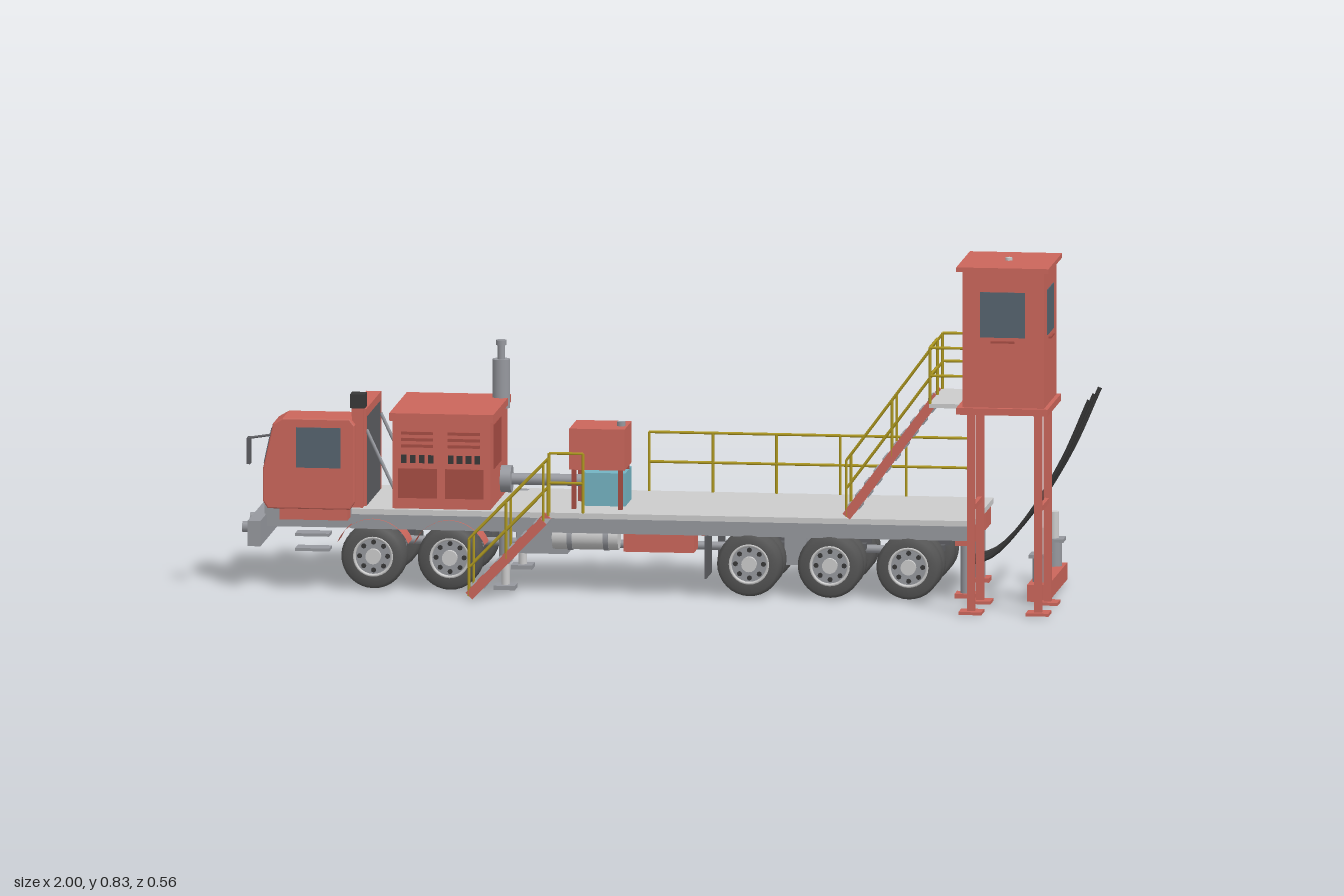
import * as THREE from 'three';

const mat = (color, side = THREE.FrontSide) => new THREE.MeshStandardMaterial({ color, side });
const grey = mat(0xcccccc), steel = mat(0x96989e), dark = mat(0x5c5d61), black = mat(0x383838), rubber = mat(0x555555);
const red = mat(0xcb665b), deepRed = mat(0xa84d44), yellow = mat(0xb09a20), teal = mat(0x74b3c2), glass = mat(0x56646f);
const redThin = mat(0xcb665b, THREE.DoubleSide);
const V = (x, y, z) => new THREE.Vector3(x, y, z);
const ZC = -0.095; // centre line of the truck

export function createModel() {
  const model = new THREE.Group();
  const add = (name, geo, m, parent = model) => {
    const mesh = new THREE.Mesh(geo, m);
    mesh.name = name;
    parent.add(mesh);
    return mesh;
  };
  const group = (name) => {
    const g = new THREE.Group();
    g.name = name;
    model.add(g);
    return g;
  };
  // box from its limits
  const box = (name, m, x0, x1, y0, y1, z0, z1, p) => add(name,
    new THREE.BoxGeometry(x1 - x0, y1 - y0, z1 - z0).translate((x0 + x1) / 2, (y0 + y1) / 2, (z0 + z1) / 2), m, p);
  // round bar between two points
  const bar = (name, m, a, b, r, p, sides = 8) => {
    const d = b.clone().sub(a);
    const mesh = add(name, new THREE.CylinderGeometry(r, r, d.length(), sides), m, p);
    mesh.position.copy(a).addScaledVector(d, 0.5);
    mesh.quaternion.setFromUnitVectors(V(0, 1, 0), d.normalize());
    return mesh;
  };
  const rail = (pts, p) => {
    for (let i = 1; i < pts.length; i++) bar('railing', yellow, pts[i - 1], pts[i], 0.0035, p, 6);
  };
  const bothSides = (f) => [1, -1].forEach((s) => f(s, (z) => ZC + s * z));

  // Deck and chassis
  box('deck', grey, -0.73, 0.735, 0.187, 0.2, -0.275, 0.083);
  bothSides((s, Z) => {
    const zr = Z(0.045), ze = Z(0.165);
    box('chassisRail', steel, -0.95, 0.73, 0.135, 0.187, zr - 0.01, zr + 0.01);
    box('deckSideBeam', steel, -0.73, 0.72, 0.152, 0.187, ze - 0.006, ze + 0.006);
    box('rearBracket', red, 0.69, 0.73, 0.14, 0.187, Z(0.12) - 0.05, Z(0.12) + 0.05);
  });
  for (let i = 0; i < 12; i++) {
    const x = -0.66 + i * 0.122;
    box('crossMember', dark, x, x + 0.018, 0.155, 0.187, -0.26, 0.07);
  }
  box('frontPlatform', steel, -0.94, -0.72, 0.17, 0.2, -0.2, 0.02);
  box('bumper', steel, -0.975, -0.945, 0.105, 0.165, -0.258, 0.075);
  bothSides((s, Z) => bar('towHook', steel, V(-1, 0.135, Z(0.07)), V(-0.97, 0.135, Z(0.07)), 0.013));

  // Wheels and axles
  const tyreGeo = (h) => new THREE.LatheGeometry([[0.046, -h], [0.068, -h], [0.076, -h * 0.65],
    [0.076, h * 0.65], [0.068, h], [0.046, h]].map((p) => new THREE.Vector2(...p)), 32).rotateX(Math.PI / 2);
  const disc = (r, t, z, n = 24) => new THREE.CylinderGeometry(r, r, t, n).rotateX(Math.PI / 2).translate(0, 0, z);
  const wheel = (x, z, s, w) => {
    const g = group('wheel');
    g.position.set(x, 0.086, z);
    add('tyre', tyreGeo(w / 2), rubber, g);
    add('rim', disc(0.047, w * 0.6, 0), steel, g);
    add('rimRing', new THREE.TorusGeometry(0.045, 0.004, 6, 28).translate(0, 0, s * w * 0.45), grey, g);
    add('hub', disc(0.018, w * 0.95, s * 0.003, 16), grey, g);
    for (let i = 0; i < 8; i++) {
      const a = i * Math.PI / 4;
      add('rimHole', disc(0.006, 0.003, 0, 8).translate(0.033 * Math.cos(a), 0.033 * Math.sin(a), s * w * 0.31), black, g);
    }
  };
  const axles = [[-0.68, 1], [-0.5, 1], [0.205, 2], [0.395, 2], [0.58, 2]];
  for (const [x, count] of axles) {
    bar('axle', steel, V(x, 0.086, -0.24), V(x, 0.086, 0.05), 0.014, model, 12);
    add('differential', new THREE.SphereGeometry(0.03, 16, 12).translate(x, 0.086, -0.105), steel);
    bothSides((s, Z) => {
      if (count === 1) wheel(x, Z(0.14), s, 0.06);
      else [0.148, 0.09].forEach((o) => wheel(x, Z(o), s, 0.048));
      box('leafSpring', dark, x - 0.07, x + 0.07, 0.108, 0.122, Z(0.045) - 0.012, Z(0.045) + 0.012);
      if (count === 1) {
        const f = add('fender', new THREE.CylinderGeometry(0.09, 0.09, 0.075, 16, 1, true, Math.PI * 0.62, Math.PI * 0.76), redThin);
        f.rotation.x = Math.PI / 2;
        f.position.set(x, 0.086, Z(0.14));
      }
    });
  }
  bar('driveShaft', steel, V(-0.68, 0.1, -0.105), V(0.58, 0.1, -0.105), 0.01, model, 12);
  box('gearbox', steel, -0.36, -0.24, 0.08, 0.17, -0.135, -0.06);

  // Under-deck equipment on both sides
  bothSides((s, Z) => {
    bar('fuelTank', grey, V(-0.26, 0.14, Z(0.133)), V(-0.105, 0.14, Z(0.133)), 0.032, model, 24);
    for (const x of [-0.225, -0.14]) bar('tankStrap', steel, V(x, 0.14, Z(0.133)), V(x + 0.012, 0.14, Z(0.133)), 0.034, model, 24);
    box('toolBox', red, -0.09, 0.075, 0.11, 0.187, Z(0.13) - 0.04, Z(0.13) + 0.04);
    box('mudFlap', dark, 0.1, 0.105, 0.05, 0.15, Z(0.12) - 0.05, Z(0.12) + 0.05);
    box('suspensionMount', steel, 0.275, 0.325, 0.07, 0.145, Z(0.05) - 0.015, Z(0.05) + 0.015);
    const jack = group('jack');
    bar('jackSleeve', steel, V(-0.37, 0.08, Z(0.155)), V(-0.37, 0.2, Z(0.155)), 0.016, jack, 16);
    bar('jackRod', grey, V(-0.37, 0.02, Z(0.155)), V(-0.37, 0.09, Z(0.155)), 0.01, jack, 12);
    box('jackPad', steel, -0.395, -0.345, 0.015, 0.025, Z(0.155) - 0.025, Z(0.155) + 0.025, jack);
    const rear = group('rearJack');
    bar('jackRod', grey, V(0.885, 0.05, Z(0.12)), V(0.885, 0.18, Z(0.12)), 0.012, rear, 16);
    bar('jackSleeve', steel, V(0.885, 0.05, Z(0.12)), V(0.885, 0.11, Z(0.12)), 0.019, rear, 16);
    box('jackCollar', steel, 0.86, 0.91, 0.11, 0.118, Z(0.12) - 0.025, Z(0.12) + 0.025, rear);
    bar('rearLeg', steel, V(0.71, 0.02, Z(0.12)), V(0.71, 0.14, Z(0.12)), 0.014, model, 16);
    box('rearLegPad', red, 0.685, 0.735, 0.012, 0.022, Z(0.12) - 0.025, Z(0.12) + 0.025);
  });
  box('rearBeam', red, 0.86, 0.91, 0.012, 0.052, -0.262, 0.078);

  // Driver cab
  const cab = group('cab');
  const side = new THREE.Shape([[-0.925, 0.2], [-0.735, 0.2], [-0.725, 0.215], [-0.725, 0.395], [-0.735, 0.408],
    [-0.89, 0.408], [-0.912, 0.395], [-0.935, 0.29], [-0.935, 0.215]].map((p) => new THREE.Vector2(...p)));
  add('cabBody', new THREE.ExtrudeGeometry(side, { depth: 0.111, bevelEnabled: true, bevelSize: 0.003, bevelThickness: 0.003, bevelSegments: 2 })
    .translate(0, 0, -0.028), red, cab);
  box('sideWindow', glass, -0.86, -0.755, 0.295, 0.39, -0.033, 0.088, cab);
  const screen = box('windscreen', glass, -0.003, 0.003, -0.042, 0.042, -0.045, 0.045, cab);
  screen.position.set(-0.926, 0.343, 0.028);
  screen.rotation.z = -0.215;
  box('cabBase', red, -0.9, -0.74, 0.17, 0.2, -0.02, 0.075, cab);
  for (const y of [0.1, 0.135]) box('cabStep', steel, -0.86, -0.78, y, y + 0.007, 0.05, 0.1, cab);
  box('mirror', dark, -0.968, -0.96, 0.31, 0.372, 0.12, 0.147, cab);
  bar('mirrorArm', dark, V(-0.92, 0.37, 0.08), V(-0.964, 0.37, 0.13), 0.003, cab);
  box('frontLocker', red, -0.92, -0.855, 0.17, 0.26, -0.255, -0.13);
  bar('airFilter', steel, V(-0.83, 0.17, -0.21), V(-0.83, 0.3, -0.21), 0.026, model, 24);

  // Radiator with its grille and air intake
  box('radiator', dark, -0.735, -0.7, 0.2, 0.41, -0.215, 0.03);
  for (let i = 0; i < 14; i++) box('grilleSlat', steel, -0.741, -0.735, 0.21 + i * 0.0145, 0.217 + i * 0.0145, -0.21, 0.025);
  for (const z of [-0.225, 0.03]) {
    box('radiatorFrame', red, -0.735, -0.7, 0.2, 0.43, z, z + 0.014);
    bar('radiatorStay', steel, V(-0.7, 0.38, z + 0.007), V(-0.63, 0.23, z + 0.007), 0.004);
  }
  box('radiatorTop', red, -0.735, -0.7, 0.41, 0.43, -0.225, 0.044);
  box('intakePost', red, -0.73, -0.705, 0.2, 0.435, 0.045, 0.068);
  box('intakeHead', black, -0.735, -0.7, 0.435, 0.468, 0.03, 0.07);

  // Engine housing
  const engine = group('engineHousing');
  box('housing', red, -0.635, -0.405, 0.2, 0.412, -0.245, 0.065, engine);
  box('housingRoof', red, -0.643, -0.398, 0.407, 0.425, -0.25, 0.068, engine);
  for (const z of [-0.246, 0.066]) {
    for (const x of [-0.615, -0.505]) {
      for (const y of [0.345, 0.36, 0.375]) box('louvre', deepRed, x, x + 0.075, y, y + 0.007, z - 0.003, z + 0.003, engine);
      for (let i = 0; i < 4; i++) box('vent', black, x + i * 0.021, x + 0.013 + i * 0.021, 0.308, 0.327, z - 0.001, z + 0.001, engine);
      box('doorPanel', deepRed, x - 0.007, x + 0.084, 0.225, 0.295, z - 0.001, z + 0.001, engine);
    }
  }
  box('rearDoor', deepRed, -0.404, -0.402, 0.29, 0.395, -0.107, 0.02, engine);
  bar('muffler', steel, V(-0.415, 0.4, -0.206), V(-0.415, 0.515, -0.206), 0.021, engine, 20);
  bar('exhaustTip', steel, V(-0.415, 0.51, -0.206), V(-0.415, 0.55, -0.206), 0.009, engine, 16);
  bar('exhaustCap', steel, V(-0.415, 0.548, -0.206), V(-0.415, 0.56, -0.206), 0.012, engine, 16);

  // Pump drive, tank and power unit
  bar('coupling', steel, V(-0.4, 0.25, ZC), V(-0.375, 0.25, ZC), 0.032, model, 24);
  bar('pumpShaft', steel, V(-0.375, 0.25, ZC), V(-0.195, 0.25, ZC), 0.014, model, 16);
  box('pumpUnit', teal, -0.2, -0.1, 0.2, 0.278, -0.145, -0.03);
  box('pumpHead', teal, -0.16, -0.11, 0.21, 0.243, -0.172, -0.145);
  box('oilTank', red, -0.225, -0.095, 0.293, 0.39, -0.108, 0.023);
  bar('tankCap', steel, V(-0.11, 0.39, -0.035), V(-0.11, 0.4, -0.035), 0.01, model, 12);
  for (const x of [-0.215, -0.105]) for (const z of [-0.1, 0.015]) box('tankLeg', deepRed, x - 0.005, x + 0.005, 0.2, 0.293, z - 0.005, z + 0.005);

  // Stairs running up along x between two stringers
  const stairs = (name, a, b, z0, z1, steps, railHeight) => {
    const g = group(name), dx = b.x - a.x, dy = b.y - a.y;
    for (const z of [z0, z1]) {
      const s = add('stringer', new THREE.BoxGeometry(Math.hypot(dx, dy), 0.022, 0.006), red, g);
      s.position.set((a.x + b.x) / 2, (a.y + b.y) / 2, z);
      s.rotation.z = Math.atan2(dy, dx);
      for (const h of [railHeight, railHeight / 2]) rail([V(a.x, a.y + h, z), V(b.x, b.y + h, z)], g);
      for (const t of [0, 0.5, 1]) rail([V(a.x + dx * t, a.y + dy * t, z), V(a.x + dx * t, a.y + dy * t + railHeight, z)], g);
    }
    for (let i = 0; i < steps; i++) {
      const t = (i + 0.7) / steps, x = a.x + dx * t, y = a.y + dy * t;
      box('tread', steel, x - 0.016, x + 0.016, y - 0.003, y + 0.003, z0, z1, g);
    }
  };
  stairs('deckStairs', V(-0.44, 0.015, 0), V(-0.265, 0.195, 0), 0.098, 0.183, 6, 0.135);
  stairs('towerStairs', V(0.435, 0.205, 0), V(0.65, 0.495, 0), -0.003, 0.082, 10, 0.133);

  // Deck railings
  const fence = (pts, y, h) => {
    for (const f of [h, h / 2]) rail(pts.map(([x, z]) => V(x, y + f, z)));
    for (const [x, z] of pts) rail([V(x, y, z), V(x, y + h, z)]);
  };
  fence([-0.075, 0.075, 0.225, 0.375, 0.53, 0.68].map((x) => [x, -0.268]), 0.2, 0.14);
  fence([[-0.265, 0.08], [-0.185, 0.08]], 0.2, 0.14);

  // Operator cabin on its tower
  const tower = group('operatorTower');
  box('cabinFloor', red, 0.72, 0.935, 0.483, 0.499, 0.038, 0.282, tower);
  box('cabinBody', red, 0.733, 0.925, 0.499, 0.822, 0.05, 0.27, tower);
  box('cabinRoof', red, 0.72, 0.937, 0.82, 0.831, 0.038, 0.282, tower);
  bar('roofVent', grey, V(0.828, 0.83, 0.16), V(0.828, 0.838, 0.16), 0.008, tower, 12);
  box('sideWindows', glass, 0.775, 0.88, 0.665, 0.772, 0.048, 0.272, tower);
  box('endWindow', glass, 0.9, 0.927, 0.665, 0.772, 0.106, 0.214, tower);
  box('endSill', deepRed, 0.925, 0.931, 0.652, 0.657, 0.13, 0.187, tower);
  box('frontSill', deepRed, 0.8, 0.856, 0.652, 0.657, 0.27, 0.275, tower);
  box('door', deepRed, 0.73, 0.735, 0.505, 0.765, 0.09, 0.19, tower);
  box('doorHandle', steel, 0.724, 0.73, 0.625, 0.64, 0.098, 0.104, tower);
  for (const x of [0.752, 0.91]) {
    for (const z of [0.092, 0.256]) {
      box('towerLeg', red, x - 0.009, x + 0.009, 0.012, 0.485, z - 0.008, z + 0.008, tower);
      box('footPlate', red, x - 0.027, x + 0.027, 0.01, 0.017, z - 0.027, z + 0.027, tower);
    }
    box('towerBrace', red, x - 0.005, x + 0.005, 0.25, 0.262, 0.092, 0.256, tower);
  }
  box('landing', grey, 0.648, 0.735, 0.488, 0.498, -0.007, 0.222, tower);
  fence([[0.65, -0.004], [0.732, -0.004], [0.732, 0.048]], 0.498, 0.132);
  fence([[0.65, 0.085], [0.65, 0.22], [0.732, 0.22]], 0.498, 0.132);

  // Trailing hoses
  for (const [z0, z1] of [[-0.035, 0.005], [ZC, -0.09], [-0.148, -0.188]]) {
    const path = new THREE.CatmullRomCurve3([V(0.7, 0.08, z0), V(0.76, 0.1, z0 * 0.85 + z1 * 0.15),
      V(0.84, 0.185, (z0 + z1) / 2), V(0.93, 0.33, z0 * 0.2 + z1 * 0.8), V(0.997, 0.48, z1)]);
    add('hose', new THREE.TubeGeometry(path, 24, 0.005, 8), black);
  }
  return model;
}
